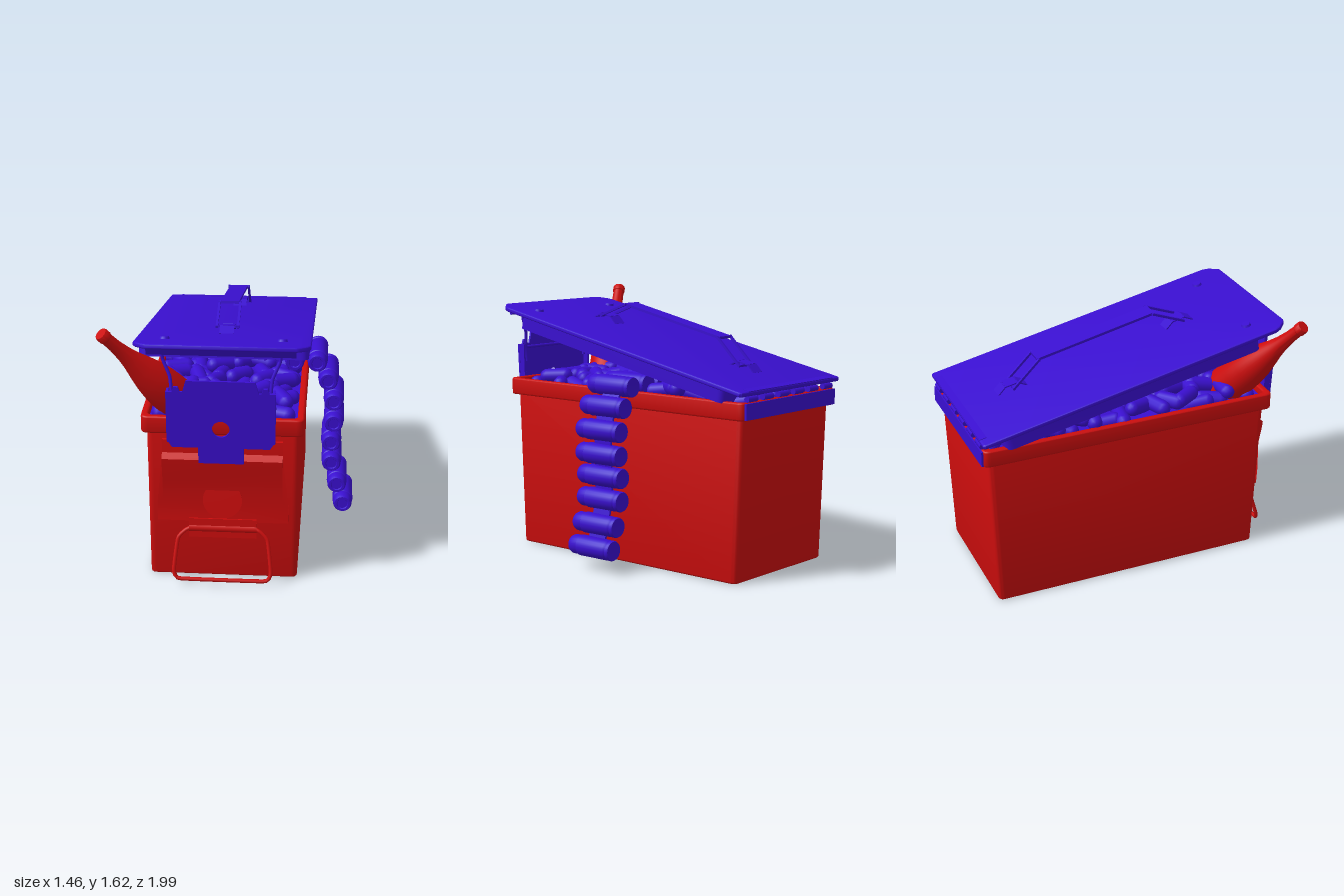
import * as THREE from 'three';
import { toCreasedNormals } from 'three/addons/utils/BufferGeometryUtils.js';

const CX = -0.035; // centre line of the box
const red = new THREE.MeshStandardMaterial({ color: 0xcc0d0d, side: THREE.DoubleSide });
const blue = new THREE.MeshStandardMaterial({ color: 0x3a0fd0, side: THREE.DoubleSide });
const V = (x, y, z) => new THREE.Vector3(x, y, z);

function add(parent, name, geo, mat, x = 0, y = 0, z = 0) {
  const m = new THREE.Mesh(geo, mat);
  m.name = name;
  m.position.set(x, y, z);
  parent.add(m);
  return m;
}
const poly = pts => new THREE.Shape(pts.map(p => new THREE.Vector2(p[0], p[1])));

function roundRect(w, d, r, Type = THREE.Shape) {
  const s = new Type(), a = w / 2, b = d / 2;
  s.moveTo(-a + r, -b);
  s.lineTo(a - r, -b).quadraticCurveTo(a, -b, a, -b + r);
  s.lineTo(a, b - r).quadraticCurveTo(a, b, a - r, b);
  s.lineTo(-a + r, b).quadraticCurveTo(-a, b, -a, b - r);
  s.lineTo(-a, -b + r).quadraticCurveTo(-a, -b, -a + r, -b);
  return s;
}
// Horizontal slab from y = 0 to h, optionally hollow, with rounded edges
function slab(shape, h, bevel = 0) {
  const g = new THREE.ExtrudeGeometry(shape, {
    depth: h - 2 * bevel, bevelEnabled: bevel > 0, bevelSize: bevel, bevelOffset: -bevel,
    bevelThickness: bevel, bevelSegments: 3, curveSegments: 6,
  });
  g.translate(0, 0, bevel).rotateX(-Math.PI / 2);
  return toCreasedNormals(g, 0.6);
}
function frame(w, d, r, wall) {
  const s = roundRect(w, d, r);
  s.holes.push(roundRect(w - 2 * wall, d - 2 * wall, r * 0.7, THREE.Path));
  return s;
}
// Flat bar in a y-z plane between two [z, y] points
function bar(parent, name, a, b, w, t, x, mat) {
  const dz = b[0] - a[0], dy = b[1] - a[1];
  const m = add(parent, name, new THREE.BoxGeometry(w, t, Math.hypot(dz, dy) + t), mat,
    x, (a[1] + b[1]) / 2, (a[0] + b[0]) / 2);
  m.rotation.x = -Math.atan2(dy, dz);
}
function wire(parent, name, pts, r, mat) {
  const path = new THREE.CatmullRomCurve3(pts.map(p => V(...p)), false, 'catmullrom', 0.25);
  add(parent, name, new THREE.TubeGeometry(path, 64, r, 8), mat);
}
const lathe = (pts, n) =>
  toCreasedNormals(new THREE.LatheGeometry(pts.map(p => new THREE.Vector2(p[0], p[1])), n), 0.6);

function buildBox(g) {
  // Tapered body
  const body = slab(roundRect(0.88, 1.73, 0.035), 1, 0.012);
  const p = body.attributes.position;
  for (let i = 0; i < p.count; i++) p.setZ(i, p.getZ(i) * (1 + 0.045 * p.getY(i)));
  add(g, 'boxBody', body, red, CX, 0, -0.045);
  add(g, 'boxRim', slab(frame(0.94, 1.88, 0.045, 0.04), 0.105, 0.01), red, CX, 0.967, -0.04);
  add(g, 'hingeStrip', new THREE.BoxGeometry(0.9, 0.095, 0.012), blue, CX, 1.02, -0.983);
  for (let i = 0; i < 6; i++) {
    const k = add(g, 'hingeKnuckle', new THREE.CylinderGeometry(0.018, 0.018, 0.09, 10), blue,
      CX - 0.38 + i * 0.152, 1.09, -0.972);
    k.rotation.z = Math.PI / 2;
  }
}

function buildCatch(g) {
  // Bent catch plate on the front, flared at its foot
  const prof = poly([[0.85, 0.92], [0.875, 0.92], [0.88, 0.84], [0.91, 0.81], [0.905, 0.77], [0.885, 0.66],
    [0.872, 0.54], [0.87, 0.5], [0.865, 0.39], [0.835, 0.39], [0.84, 0.5], [0.84, 0.54]]);
  const geo = new THREE.ExtrudeGeometry(prof, { depth: 0.7, bevelEnabled: false });
  geo.translate(0, 0, -0.35).rotateY(-Math.PI / 2);
  const p = geo.attributes.position;
  for (let i = 0; i < p.count; i++) if (p.getY(i) < 0.52) p.setX(i, p.getX(i) * 1.1);
  add(g, 'catchPlate', toCreasedNormals(geo, 0.6), red, CX);
  const boss = add(g, 'catchBoss', new THREE.CylinderGeometry(0.115, 0.115, 0.03, 40), red, CX, 0.54, 0.87);
  boss.rotation.x = Math.PI / 2 - 0.1;
  // Hinged wire handle
  const sleeve = add(g, 'handleSleeve', new THREE.CylinderGeometry(0.03, 0.03, 0.4, 16), red, CX, 0.345, 0.855);
  sleeve.rotation.z = Math.PI / 2;
  bar(g, 'sleeveTab', [0.87, 0.3], [0.865, 0.4], 0.4, 0.02, CX, red);
  const half = [[0.16, 0.345], [0.21, 0.335], [0.265, 0.28], [0.288, 0.1], [0.28, 0.06], [0.24, 0.04]];
  const all = [...half.map(q => [-q[0], q[1]]), ...half.reverse()];
  wire(g, 'wireHandle', all.map(([x, y]) => [CX + x, y, 0.945 - (y - 0.04) * 0.28]), 0.012, red);
}

function buildLid(g) {
  const lid = new THREE.Group();
  lid.name = 'lid';
  lid.position.set(CX, 1.135, -0.99);
  lid.rotation.x = -0.206;
  g.add(lid);
  // Top sheet with clipped front corners
  const sheet = poly([[-0.49, 0], [0.49, 0], [0.5, -0.012], [0.5, -1.91], [0.485, -1.945], [0.44, -1.99],
    [0.42, -2], [-0.42, -2], [-0.44, -1.99], [-0.485, -1.945], [-0.5, -1.91], [-0.5, -0.012]]);
  add(lid, 'lidSheet', slab(sheet, 0.028, 0.008), blue, 0, -0.028, 0);
  add(lid, 'lidSkirt', slab(frame(0.97, 1.67, 0.05, 0.025), 0.085), blue, 0, -0.105, 0.965);
  bar(lid, 'lidLip', [1.985, -0.02], [1.955, -0.055], 0.84, 0.015, 0, blue);
  add(lid, 'lidHingeLeaf', new THREE.BoxGeometry(0.85, 0.006, 0.045), blue, 0, 0, 0.025);
  for (const x of [-0.335, 0.335])
    add(lid, 'lidStud', new THREE.CylinderGeometry(0.025, 0.032, 0.016, 16), blue, x, 0.005, 1.79);
  // Carrying handle: strap, end loops and brackets
  const ends = [[[0.55, 0.14], [0.36, 0.018], 0.355], [[1.318, 0.147], [1.5, 0.03], 1.48]];
  bar(lid, 'handleStrap', ends[0][0], ends[1][0], 0.11, 0.016, 0, blue);
  for (const [a, b, c] of ends) {
    for (const x of [-0.062, 0.062]) bar(lid, 'handleLoopSide', a, b, 0.014, 0.014, x, blue);
    for (const q of [a, b])
      add(lid, 'handleLoopCross', new THREE.BoxGeometry(0.138, 0.014, 0.014), blue, 0, q[1], q[0]);
    const arch = [[c - 0.09, 0], [c - 0.04, 0.035], [c + 0.04, 0.035], [c + 0.09, 0]];
    for (let i = 0; i < 3; i++) bar(lid, 'handleBracket', arch[i], arch[i + 1], 0.085, 0.007, 0, blue);
  }
}

function buildLatch(g) {
  const latch = new THREE.Group();
  latch.name = 'latch';
  latch.position.set(CX, 0.82, 0.952);
  latch.rotation.x = 0.05;
  g.add(latch);
  // Plate with tab below, raised tongue above and a round hole
  const right = [[0.13, 0], [0.13, 0.1], [0.28, 0.1], [0.31, 0.15], [0.31, 0.45], [0.275, 0.45], [0.265, 0.48],
    [0.24, 0.48], [0.23, 0.45], [0.215, 0.45], [0.195, 0.52]];
  const s = poly([...right, ...right.map(q => [-q[0], q[1]]).reverse()]);
  s.holes.push(new THREE.Path().absarc(0, 0.22, 0.05, 0, Math.PI * 2, true));
  add(latch, 'latchPlate', new THREE.ExtrudeGeometry(s, { depth: 0.014, bevelEnabled: false, curveSegments: 24 }), blue);
  for (const k of [-1, 1]) {
    const side = poly([[0.01, 0.13], [-0.035, 0.17], [-0.04, 0.45], [0.01, 0.45]]);
    const geo = new THREE.ExtrudeGeometry(side, { depth: 0.014, bevelEnabled: false });
    geo.translate(0, 0, -0.007).rotateY(-Math.PI / 2);
    add(latch, 'latchFlange', geo, blue, k * 0.302);
    wire(g, 'latchWire', [[CX + k * 0.27, 1.16, 0.945], [CX + k * 0.28, 1.25, 0.945],
      [CX + k * 0.29, 1.34, 0.93], [CX + k * 0.33, 1.44, 0.915], [CX + k * 0.335, 1.515, 0.92]], 0.01, blue);
  }
  const rod = add(latch, 'latchRod', new THREE.CylinderGeometry(0.01, 0.01, 0.58, 10), blue, 0, 0.43, -0.015);
  rod.rotation.z = Math.PI / 2;
}

function buildBottle(g) {
  const geo = lathe([[0, 0], [0.036, 0], [0.04, 0.008], [0.04, 0.04], [0.035, 0.046], [0.037, 0.12], [0.046, 0.2],
    [0.06, 0.27], [0.082, 0.35], [0.102, 0.43], [0.115, 0.51], [0.121, 0.6], [0.121, 0.85], [0, 0.86]], 32);
  const m = add(g, 'bottle', geo, red, -0.7, 1.597, 0.965);
  m.quaternion.setFromUnitVectors(V(0, 1, 0), V(0.32, -0.4, -0.2).normalize());
}

function buildRounds(g) {
  // Belt hanging over the side
  const round = lathe([[0, -0.16], [0.058, -0.163], [0.062, -0.155], [0.062, -0.14], [0.055, -0.134], [0.062, -0.12],
    [0.064, 0.09], [0.059, 0.095], [0.059, 0.145], [0.05, 0.163], [0.036, 0.163], [0.032, 0.155], [0, 0.155]], 24);
  round.rotateX(Math.PI / 2);
  const belt = [[0.21, 1.1], [0.35, 1.11], [0.49, 1.105], [0.56, 0.985], [0.597, 0.845], [0.6, 0.7], [0.587, 0.565],
    [0.592, 0.425], [0.63, 0.275], [0.67, 0.14]];
  belt.forEach(([x, y], i) => {
    add(g, 'beltRound', round, blue, x, y, -0.042);
    if (!i) return;
    const [px, py] = belt[i - 1];
    const link = add(g, 'beltLink', new THREE.BoxGeometry(Math.hypot(x - px, y - py), 0.014, 0.13), blue,
      (x + px) / 2, (y + py) / 2, -0.06);
    link.rotation.z = Math.atan2(y - py, x - px);
  });
  // Loose heap filling the box
  let seed = 7;
  const rnd = () => (seed = (seed * 16807) % 2147483647) / 2147483647;
  const loose = new THREE.CapsuleGeometry(0.047, 0.12, 4, 12);
  add(g, 'heapBase', new THREE.BoxGeometry(0.87, 0.03, 1.8), blue, CX, 1.01, -0.04);
  for (let r = 0; r < 17; r++) for (let c = 0; c < 6; c++) {
    const z = -0.84 + r * 0.099 + (rnd() - 0.5) * 0.05;
    const lift = z < -0.6 ? 0.03 : 0.075;
    const m = add(g, 'looseRound', loose, blue, CX - 0.325 + c * 0.13 + (rnd() - 0.5) * 0.04, 1.03 + lift * rnd(), z);
    m.rotation.set(Math.PI / 2 + (rnd() - 0.5) * 0.5, 0, rnd() * Math.PI);
  }
}

export function createModel() {
  const g = new THREE.Group();
  g.name = 'ammunitionBox';
  for (const build of [buildBox, buildCatch, buildLid, buildLatch, buildBottle, buildRounds]) build(g);
  return g;
}
